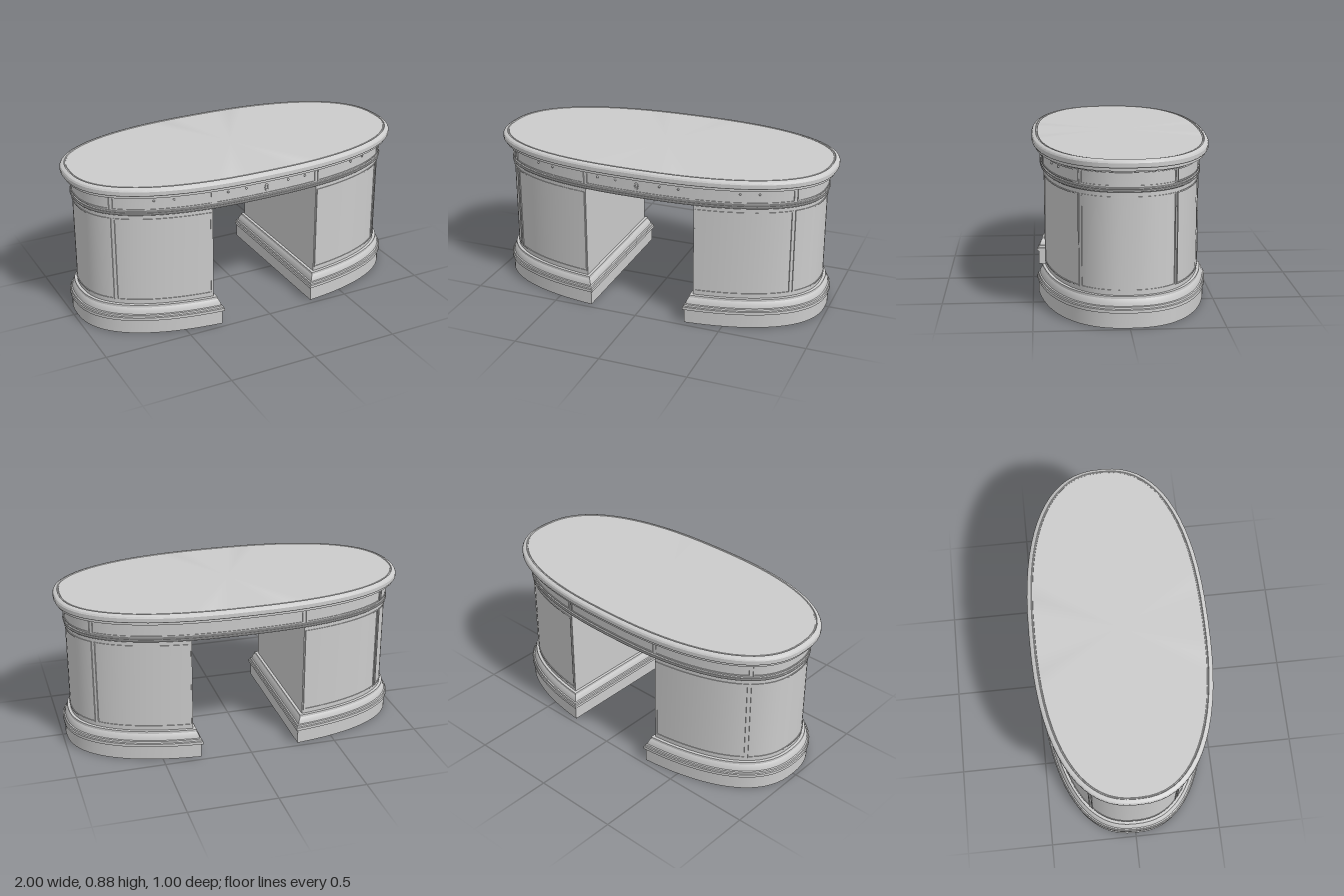
import * as THREE from 'three';
import { mergeGeometries, toCreasedNormals } from 'three/addons/utils/BufferGeometryUtils.js';

const N = 2.4; // superellipse exponent of the oval plan
const material = new THREE.MeshStandardMaterial({ color: 0xcccccc });

// point on the oval, inset by d from the table edge; angle runs from +x to +z
function oval(t, d) {
  const f = (v) => Math.sign(v) * Math.abs(v) ** (2 / N);
  return [(1 - d) * f(Math.cos(t)), (0.5 - d) * f(Math.sin(t))];
}
const angleAtX = (x, d) => Math.acos((x / (1 - d)) ** (N / 2));
const angleAtZ = (z, d) => Math.asin((z / (0.5 - d)) ** (N / 2));

const fullRing = (d) => Array.from({ length: 72 }, (_, i) => oval((i / 72) * Math.PI * 2, d));

// half-oval plan, cut off by a straight kneehole side
function pedestalRing(d) {
  const end = angleAtX(0.265 + d, d);
  return Array.from({ length: 41 }, (_, i) => oval(-end + (i / 40) * 2 * end, d));
}

// stacks rings along a bottom-to-top profile of [y, inset] and caps both ends
function loft(profile, ring) {
  const pos = [];
  const rings = profile.map(([y, d]) => ring(d).map(([x, z]) => [x, y, z]));
  const n = rings[0].length;
  const centre = (r) => [0, 1, 2].map((k) => r.reduce((s, p) => s + p[k], 0) / n);
  const bottom = rings[0], top = rings[rings.length - 1];
  const cb = centre(bottom), ct = centre(top);
  for (let j = 0; j < n; j++) {
    const k = (j + 1) % n;
    for (let i = 0; i < rings.length - 1; i++) {
      const a = rings[i], b = rings[i + 1];
      pos.push(...a[j], ...b[j], ...a[k], ...a[k], ...b[j], ...b[k]);
    }
    pos.push(...cb, ...bottom[j], ...bottom[k], ...ct, ...top[k], ...top[j]);
  }
  const g = new THREE.BufferGeometry();
  g.setAttribute('position', new THREE.Float32BufferAttribute(pos, 3));
  return toCreasedNormals(g, 0.5);
}

// raised strip that follows the oval between two angles
function strip(t0, t1, y0, y1, inset, raise) {
  const steps = Math.max(1, Math.ceil(Math.abs(t1 - t0) / 0.087));
  const outer = [], inner = [];
  for (let i = 0; i <= steps; i++) {
    const t = t0 + ((t1 - t0) * i) / steps;
    const [x, z] = oval(t, inset - raise);
    const [u, w] = oval(t, inset + 0.01);
    outer.push(new THREE.Vector2(x, -z));
    inner.unshift(new THREE.Vector2(u, -w));
  }
  const g = new THREE.ExtrudeGeometry(new THREE.Shape([...outer, ...inner]), { depth: y1 - y0, bevelEnabled: false });
  g.rotateX(-Math.PI / 2).translate(0, y0, 0);
  return toCreasedNormals(g, 0.5);
}

// angle that covers a given width along the oval near t
function widthToAngle(w, t, d) {
  const a = oval(t - 0.01, d), b = oval(t + 0.01, d);
  return (w * 0.02) / Math.hypot(a[0] - b[0], a[1] - b[1]);
}

// rectangular bead moulding around one panel
function frame(t0, t1, y0, y1, d) {
  const w = 0.007, gap = 0.007, r = 0.004;
  const a = t0 + widthToAngle(gap, t0, d), b = t1 - widthToAngle(gap, t1, d);
  return mergeGeometries([
    strip(a, b, y0, y0 + w, d, r),
    strip(a, b, y1 - w, y1, d, r),
    strip(a, a + widthToAngle(w, a, d), y0 + w, y1 - w, d, r),
    strip(b - widthToAngle(w, b, d), b, y0 + w, y1 - w, d, r),
  ]);
}

export function createModel() {
  const desk = new THREE.Group();
  desk.name = 'ovalPedestalDesk';
  const add = (name, geometry, parent = desk) => {
    const mesh = new THREE.Mesh(geometry, material);
    mesh.name = name;
    parent.add(mesh);
    return mesh;
  };

  // table top with stepped underside, rounded edge and a fine groove
  add('tableTop', loft([
    [0.825, 0.014], [0.842, 0.014], [0.842, 0.004], [0.848, 0], [0.868, 0], [0.877, 0.005],
    [0.882, 0.013], [0.885, 0.024], [0.88, 0.027], [0.88, 0.032], [0.883, 0.034],
  ], fullRing));

  // frieze with a bead above and a double moulding below
  const friezeInset = 0.052;
  add('frieze', loft([
    [0.709, 0.05], [0.713, 0.045], [0.719, 0.045], [0.722, 0.049], [0.725, 0.046], [0.731, 0.046],
    [0.734, friezeInset], [0.812, friezeInset], [0.814, 0.045], [0.82, 0.045], [0.826, 0.04],
  ], fullRing));

  // drawer and panel frames around the frieze
  const s = angleAtZ(0.25, friezeInset), k = angleAtX(0.32, friezeInset), P = Math.PI;
  const stops = [-s, s, k, P - k, P - s, P + s, P + k, 2 * P - k, 2 * P - s];
  for (let i = 0; i < stops.length - 1; i++) {
    add('friezePanelFrame', frame(stops[i], stops[i + 1], 0.738, 0.811, friezeInset));
  }

  // two mirrored pedestals
  const bodyInset = 0.057;
  const edge = angleAtX(0.265 + bodyInset, bodyInset);
  const bs = angleAtZ(0.25, bodyInset);
  for (const [side, turn] of [['left', 0], ['right', P]]) {
    const pedestal = new THREE.Group();
    pedestal.name = side + 'Pedestal';
    pedestal.rotation.y = turn;
    desk.add(pedestal);
    add('cabinetBody', loft([[0.155, bodyInset], [0.712, bodyInset]], pedestalRing), pedestal);
    add('plinth', loft([
      [0, 0.021], [0.082, 0.021], [0.083, 0.012], [0.1, 0.012], [0.104, 0.017], [0.114, 0.019],
      [0.117, 0.026], [0.13, 0.029], [0.145, 0.035], [0.152, 0.04], [0.165, 0.041], [0.166, 0.05],
    ], pedestalRing), pedestal);
    for (const [a, b] of [[-edge, -bs], [-bs, bs], [bs, edge]]) {
      add('cabinetPanelFrame', frame(a, b, 0.188, 0.685, bodyInset), pedestal);
    }
  }

  // small drawer pulls on the front
  for (const x of [-0.64, -0.537, -0.238, -0.13, 0.13, 0.238, 0.57, 0.67]) {
    const t = angleAtX(Math.abs(x), friezeInset);
    const z = oval(t, friezeInset)[1];
    const knob = add('drawerKnob', new THREE.SphereGeometry(0.006, 12, 8));
    knob.position.set(x, 0.794, z + 0.003);
  }

  // keyhole plate on the centre drawer
  const plate = add('keyholePlate', new THREE.TorusGeometry(0.009, 0.003, 8, 24));
  plate.scale.y = 1.8;
  plate.position.set(-0.005, 0.776, 0.5 - friezeInset);

  return desk;
}
